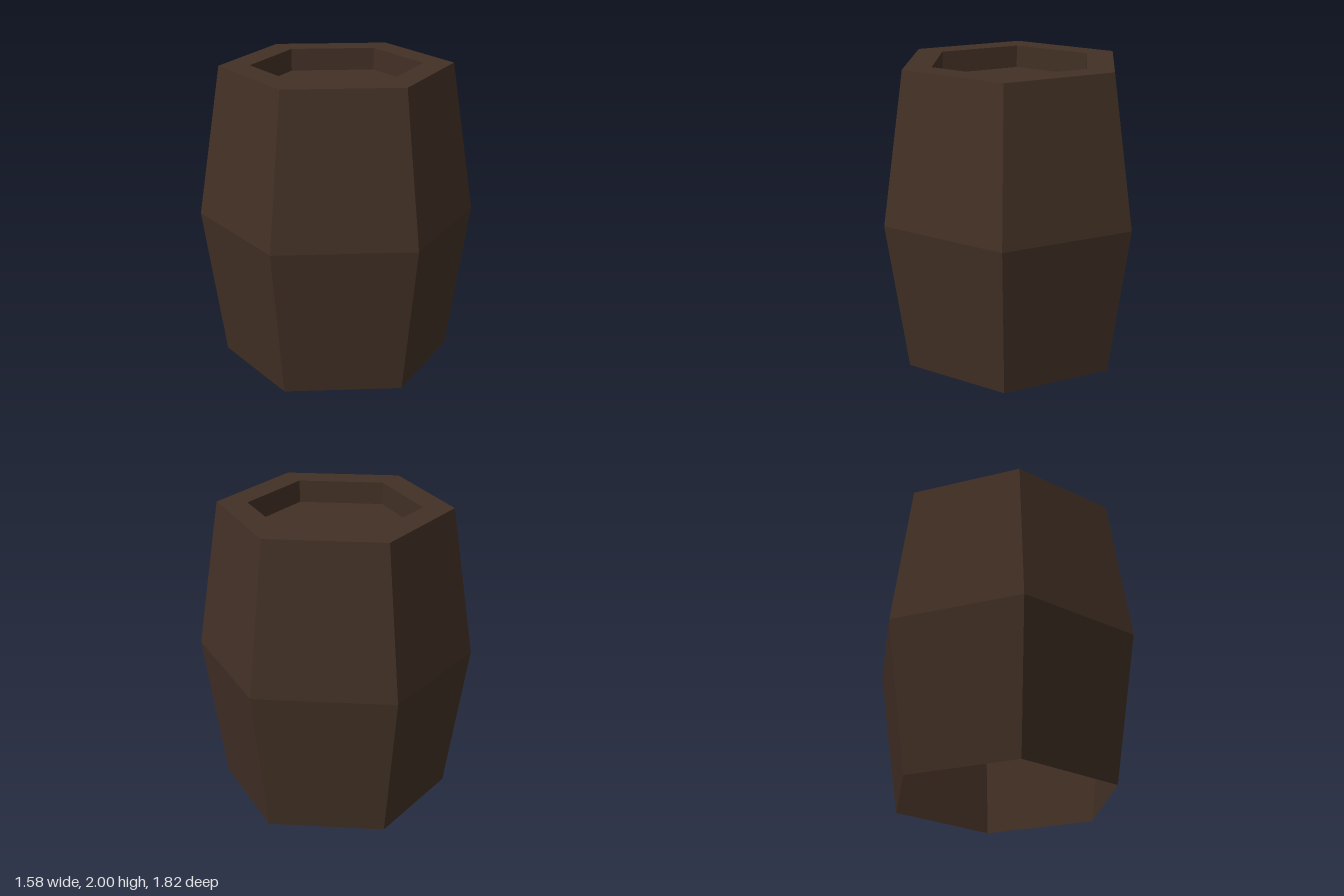
import * as THREE from 'three';

// Six-sided barrel with an open bottom and a sunken lid.
export function createModel() {
  const model = new THREE.Group();
  model.name = 'barrel';

  const wood = new THREE.MeshStandardMaterial({ color: 0x423025 });
  wood.name = 'dark wood';
  wood.side = THREE.DoubleSide;
  wood.flatShading = true;

  const SIDES = 6, TOP = 2, MIDDLE = 1, RECESS = 0.15;
  const END_RADIUS = 0.76, MIDDLE_RADIUS = 0.91, LID_RADIUS = 0.56;

  // Faceted band through [radius, height] points, with corners on the z axis
  const addBand = (name, points) => {
    const profile = points.map(([r, y]) => new THREE.Vector2(r, y));
    const geometry = new THREE.LatheGeometry(profile, SIDES).toNonIndexed();
    geometry.computeVertexNormals();
    const mesh = new THREE.Mesh(geometry, wood);
    mesh.name = name;
    model.add(mesh);
  };

  // Bulging side walls
  addBand('staves', [[END_RADIUS, 0], [MIDDLE_RADIUS, MIDDLE], [END_RADIUS, TOP]]);
  // Flat ring around the top
  addBand('rim', [[END_RADIUS, TOP], [LID_RADIUS, TOP]]);
  // Upright walls down to the lid
  addBand('recessWall', [[LID_RADIUS, TOP], [LID_RADIUS, TOP - RECESS]]);

  // Sunken lid
  const lid = new THREE.Mesh(new THREE.CircleGeometry(LID_RADIUS, SIDES, Math.PI / 2), wood);
  lid.name = 'lid';
  lid.rotation.x = -Math.PI / 2;
  lid.position.y = TOP - RECESS;
  model.add(lid);

  return model;
}
